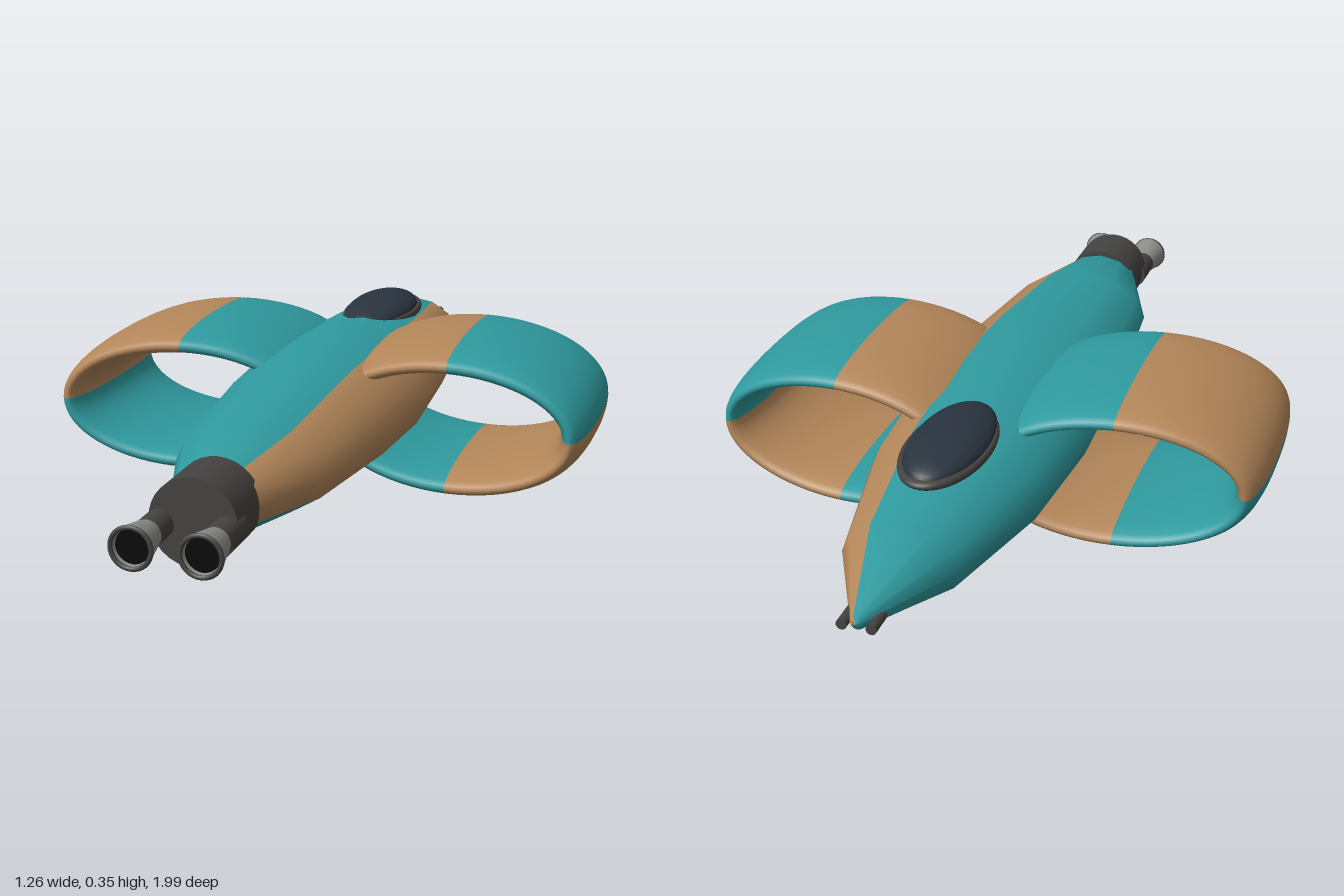
import * as THREE from 'three';

const mat = (color, side = THREE.FrontSide) => new THREE.MeshStandardMaterial({ color, side });
const teal = mat(0x2f9a9f), brown = mat(0xb4875a), dark = mat(0x454341);
const steel = mat(0x8c8c88, THREE.DoubleSide), glass = mat(0x2a343f), black = mat(0x080808);

const MID_Y = 0.183;

// Smooth surface closed around u (and optionally v), painted in two colours
function patch(nu, nv, closedV, point, isBrown) {
  const pos = [], faces = [[], []], rows = closedV ? nv : nv + 1;
  for (let i = 0; i < nu; i++)
    for (let j = 0; j < rows; j++) pos.push(...point(i, j));
  const id = (i, j) => (i % nu) * rows + (j % rows);
  for (let i = 0; i < nu; i++)
    for (let j = 0; j < nv; j++) {
      const a = id(i, j), b = id(i + 1, j), c = id(i + 1, j + 1), d = id(i, j + 1);
      faces[isBrown(i) ? 1 : 0].push(a, b, c, a, c, d);
    }
  const g = new THREE.BufferGeometry();
  g.setAttribute('position', new THREE.Float32BufferAttribute(pos, 3));
  g.setIndex([...faces[0], ...faces[1]]);
  g.addGroup(0, faces[0].length, 0);
  g.addGroup(faces[0].length, faces[1].length, 1);
  g.computeVertexNormals();
  return new THREE.Mesh(g, [teal, brown]);
}

// Twelve-sided hull through oval stations: z, half width, half height
function fuselage() {
  const stations = [
    [-0.99, 0, 0], [-0.985, 0.014, 0.014], [-0.76, 0.126, 0.083], [-0.43, 0.2, 0.122],
    [-0.1, 0.22, 0.141], [0.16, 0.205, 0.137], [0.53, 0.17, 0.1], [0.74, 0.095, 0.075], [0.745, 0, 0],
  ];
  return patch(12, stations.length - 1, false, (i, j) => {
    const [z, w, h] = stations[j], t = (i * Math.PI) / 6;
    return [w * Math.cos(t), MID_Y + h * Math.sin(t), z];
  }, (i) => i === 11 || i < 2);
}

// Oval ring wing with a lens-like section, swept back toward the tip
function ringWing(side) {
  const nu = 64, nv = 32;
  return patch(nu, nv, true, (i, j) => {
    const t = (i / nu) * Math.PI * 2, p = (j / nv) * Math.PI * 2;
    const soft = (v) => Math.sign(v) * Math.abs(v) ** 0.9;
    const r = 0.035 * soft(Math.cos(p));
    const x = side * 0.317 + (0.28 + r) * Math.cos(t);
    const z = -0.098 + 0.08 * (Math.abs(x) - 0.32) + 0.245 * soft(Math.sin(p));
    return [x, 0.18 + (0.14 + r) * Math.sin(t), z];
  }, (i) => Math.floor((i * 4) / nu) % 2 === 1);
}

export function createModel() {
  const model = new THREE.Group();
  const add = (name, mesh) => { mesh.name = name; model.add(mesh); return mesh; };
  // Tube or cone along z; rFront is the radius at z1
  const tube = (name, material, x, y, z0, z1, rBack, rFront, open = false) => {
    const g = new THREE.CylinderGeometry(rFront, rBack, z1 - z0, 32, 1, open).rotateX(Math.PI / 2);
    const m = add(name, new THREE.Mesh(g, material));
    m.position.set(x, y, (z0 + z1) / 2);
    return m;
  };

  add('fuselage', fuselage());

  // Canopy and its frame
  const canopy = add('canopy', new THREE.Mesh(new THREE.SphereGeometry(1, 40, 24), glass));
  canopy.scale.set(0.083, 0.04, 0.18);
  canopy.position.set(0, 0.298, -0.465);
  const frame = add('canopyFrame', new THREE.Mesh(
    new THREE.TorusGeometry(1, 0.08, 12, 48).rotateX(Math.PI / 2), dark));
  frame.scale.set(0.086, 0.12, 0.17);
  frame.position.set(0, 0.293, -0.476);

  // Engine housing
  tube('engineHousing', dark, 0, 0.18, 0.725, 0.86, 0.091, 0.091);

  for (const side of [-1, 1]) {
    const label = side > 0 ? 'left' : 'right';
    add(label + 'RingWing', ringWing(side));

    // Exhaust pipe, flared bell, dark throat and rim
    const x = side * 0.069, y = 0.172;
    tube(label + 'ExhaustPipe', dark, x, y, 0.825, 0.925, 0.03, 0.03);
    tube(label + 'ExhaustBell', steel, x, y, 0.92, 0.997, 0.03, 0.045, true);
    tube(label + 'ExhaustThroat', black, x, y, 0.92, 0.985, 0.026, 0.035);
    const rim = add(label + 'ExhaustRim', new THREE.Mesh(new THREE.TorusGeometry(0.041, 0.005, 8, 32), dark));
    rim.position.set(x, y, 0.995);

    // Small nose barrel
    tube(label + 'NoseBarrel', dark, side * 0.03, 0.177, -0.99, -0.935, 0.011, 0.011);
  }
  return model;
}
